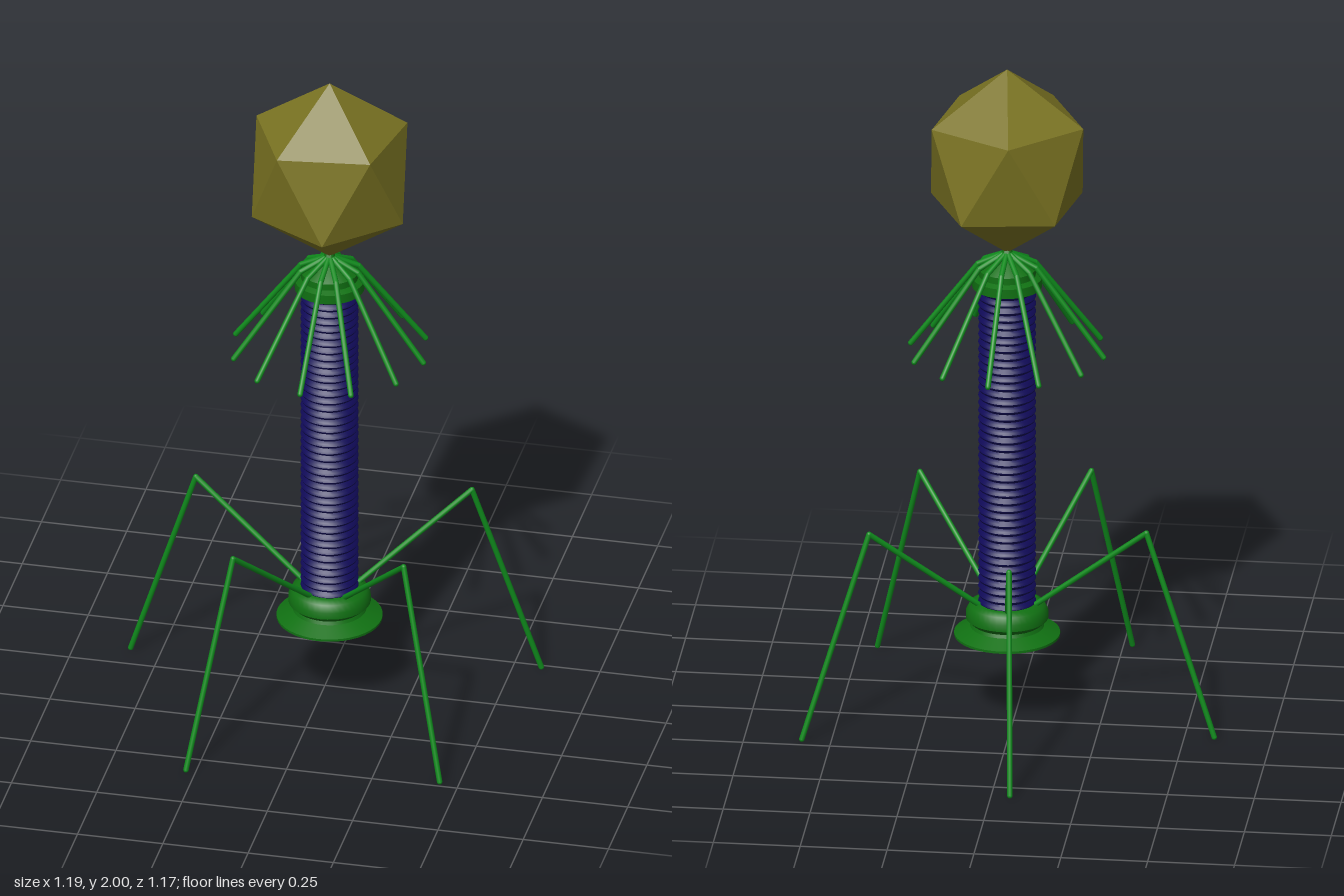
import * as THREE from 'three';
import { toCreasedNormals } from 'three/addons/utils/BufferGeometryUtils.js';

const RAD = Math.PI / 180;
const mat = (color, extra = {}) => new THREE.MeshStandardMaterial({ color, ...extra });

export function createModel() {
  const model = new THREE.Group();
  model.position.set(0.022, 0, 0.037); // body axis sits slightly off the centre of the spread legs

  const headMat = mat(0x7a7322, { flatShading: true });
  const fibreMat = mat(0x0f8a1c);
  const plateMat = mat(0x107012);
  const tailMat = mat(0x100a58);
  const coreMat = mat(0x5c4a1c, { side: THREE.DoubleSide });

  const add = (parent, name, geometry, material) => {
    const mesh = new THREE.Mesh(geometry, material);
    mesh.name = name;
    parent.add(mesh);
    return mesh;
  };

  // Turned part from [radius, y] pairs, listed bottom to top
  const lathe = (name, profile, material, crease = 35) => {
    const pts = profile.map(([r, y]) => new THREE.Vector2(r, y));
    return add(model, name, toCreasedNormals(new THREE.LatheGeometry(pts, 40), crease * RAD), material);
  };

  // Jointed rod running through [radius, y] points in the vertical plane at an azimuth
  const fibre = (name, points, azimuth, radius) => {
    const group = new THREE.Group();
    group.name = name;
    group.rotation.y = -azimuth * RAD;
    const pts = points.map(([r, y]) => new THREE.Vector3(r, y, 0));
    pts.forEach((p, i) => {
      add(group, name + 'Joint', new THREE.SphereGeometry(radius, 12, 8), fibreMat).position.copy(p);
      if (i === 0) return;
      const dir = p.clone().sub(pts[i - 1]);
      const rod = add(group, name + 'Rod', new THREE.CylinderGeometry(radius, radius, dir.length(), 12), fibreMat);
      rod.position.copy(p).add(pts[i - 1]).multiplyScalar(0.5);
      rod.quaternion.setFromUnitVectors(new THREE.Vector3(0, 1, 0), dir.normalize());
    });
    model.add(group);
  };

  // Icosahedral head standing on a vertex, slightly stretched upwards
  const head = new THREE.IcosahedronGeometry(0.255, 0);
  head.rotateZ(Math.atan(2 / (1 + Math.sqrt(5))));
  head.rotateY(-10.8 * RAD);
  head.scale(1, 1.112, 1);
  head.translate(0, 1.716, 0);
  add(model, 'head', head, headMat);

  // Collar with a pointed crown below the head
  lathe('collar', [
    [0, 1.33], [0.1, 1.33], [0.1, 1.358], [0.082, 1.365], [0.082, 1.385],
    [0.06, 1.4], [0.022, 1.42], [0.012, 1.445], [0, 1.445],
  ], plateMat);

  // Ribbed tail sheath
  const ribs = 42, bottom = 0.345, pitch = (1.335 - bottom) / ribs;
  const sheath = [[0, bottom]];
  for (let i = 0; i < ribs; i++) {
    const y = bottom + i * pitch;
    sheath.push([0.071, y], [0.08, y + pitch * 0.25], [0.083, y + pitch * 0.5], [0.08, y + pitch * 0.75]);
  }
  sheath.push([0.071, 1.335], [0, 1.335]);
  lathe('tailSheath', sheath, tailMat, 50);

  // Stepped base plate
  lathe('basePlate', [
    [0, 0.252], [0.152, 0.252], [0.152, 0.259], [0.106, 0.28], [0.102, 0.29],
    [0.118, 0.305], [0.118, 0.325], [0.108, 0.345], [0.09, 0.355], [0, 0.355],
  ], plateMat);

  // Hollow end of the tail tube
  lathe('tailTube', [[0, 0.25], [0.024, 0.25], [0.024, 0.235], [0.043, 0.235], [0.043, 0.26]], coreMat);

  // Twelve short whiskers around the collar
  for (let i = 0; i < 12; i++) {
    fibre('whisker', [[0.01, 1.43], [0.085, 1.392], [0.281, 1.13]], 4.8 + i * 30, 0.008);
  }

  // Five long jointed legs
  for (let i = 0; i < 5; i++) {
    fibre('leg', [[0.05, 0.326], [0.417, 0.615], [0.62, 0.008]], -97.2 + i * 72, 0.008);
  }

  return model;
}
